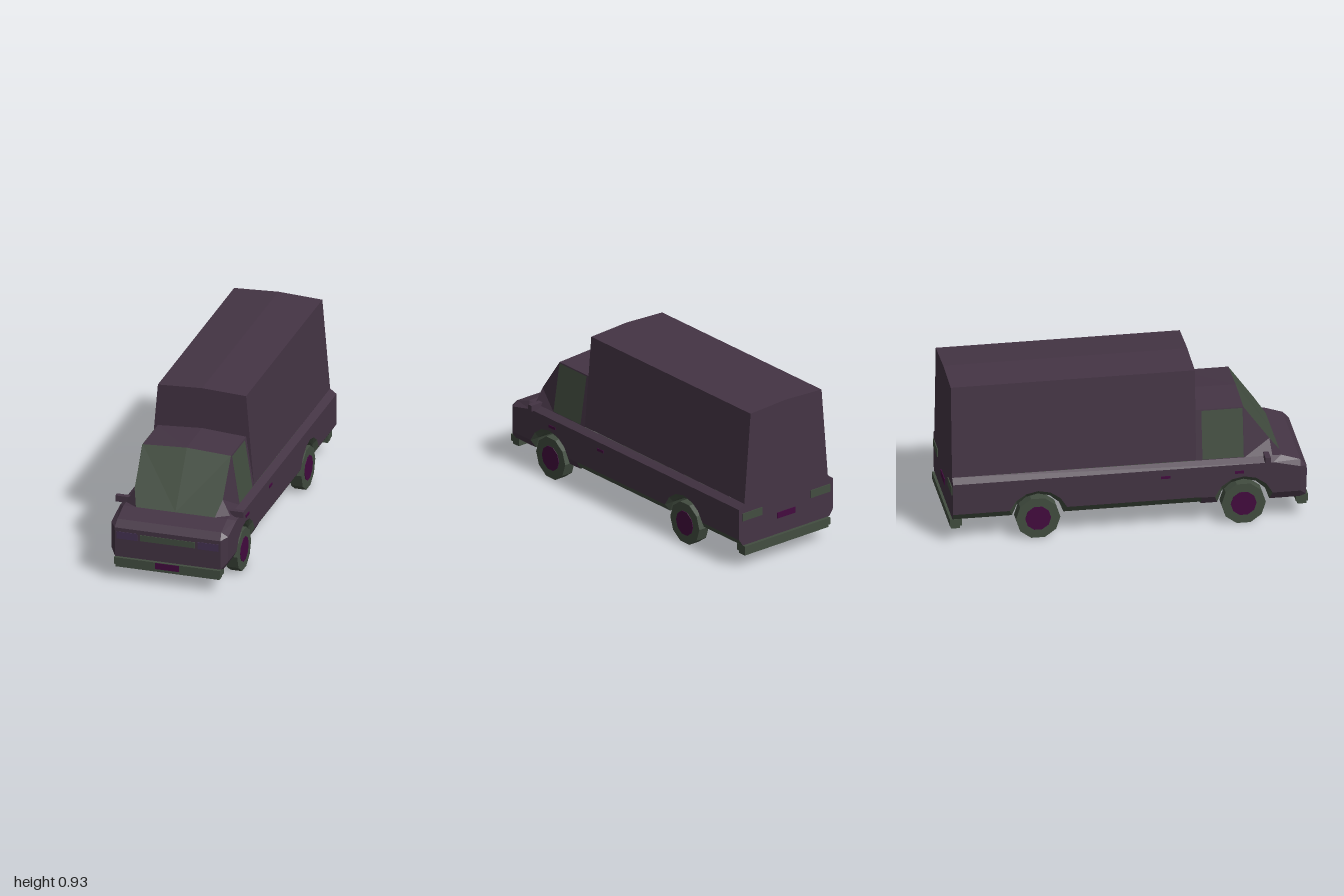
import * as THREE from 'three';

const mat = (name, color) => new THREE.MeshStandardMaterial({ name, color, flatShading: true, side: THREE.DoubleSide });

// Flat polygons (fans of [x, y, z] corners), optionally mirrored in x
function panels(name, material, polys, mirror = false) {
  const v = [];
  for (const s of mirror ? [1, -1] : [1]) {
    for (const p of polys) {
      for (let i = 1; i < p.length - 1; i++) {
        const tri = s > 0 ? [p[0], p[i], p[i + 1]] : [p[0], p[i + 1], p[i]];
        for (const [x, y, z] of tri) v.push(s * x, y, z);
      }
    }
  }
  const g = new THREE.BufferGeometry();
  g.setAttribute('position', new THREE.Float32BufferAttribute(v, 3));
  g.computeVertexNormals();
  const m = new THREE.Mesh(g, material);
  m.name = name;
  return m;
}

export function createModel() {
  const van = new THREE.Group();
  van.name = 'boxVan';
  const paint = mat('body paint', 0x443444);
  const green = mat('dark green trim', 0x424d40);
  const magenta = mat('magenta', 0x430a3f);
  const lamp = mat('headlight purple', 0x443252);

  const box = (name, material, w, h, d, x, y, z) => {
    const m = new THREE.Mesh(new THREE.BoxGeometry(w, h, d), material);
    m.name = name;
    m.position.set(x, y, z);
    van.add(m);
  };

  const W = 0.337, WI = 0.312, BACK = -0.985, CAB = 0.375;
  const axles = [0.635, -0.51];

  // Lower edge of the body from front to back, with wheel arches
  const arch = (zc, r, yBase) => {
    const a0 = Math.asin((yBase - 0.115) / r), pts = [];
    for (let i = 0; i <= 6; i++) {
      const a = a0 + (Math.PI - 2 * a0) * i / 6;
      pts.push([zc + r * Math.cos(a), 0.115 + r * Math.sin(a)]);
    }
    return pts;
  };
  const edge = (r, yCab, yRear) => [
    [0.95, yCab], ...arch(axles[0], r, yCab), [0.4, yCab], [0.39, yRear],
    ...arch(axles[1], r, yRear), [BACK, yRear],
  ];
  const outer = edge(0.172, 0.175, 0.178);
  const inner = edge(0.146, 0.13, 0.14);

  // Side panels
  const side = new THREE.Shape([...outer, [BACK, 0.36], [0.8, 0.36], [0.95, 0.325]]
    .map(([z, y]) => new THREE.Vector2(z, y)));
  for (const s of [1, -1]) {
    const m = new THREE.Mesh(new THREE.ShapeGeometry(side).rotateY(-Math.PI / 2).translate(s * W, 0, 0), paint);
    // Wind the triangles so that they face outwards
    if (s > 0) {
      const idx = m.geometry.index.array;
      for (let i = 0; i < idx.length; i += 3) [idx[i], idx[i + 1]] = [idx[i + 1], idx[i]];
      m.geometry.computeVertexNormals();
    }
    m.name = s > 0 ? 'leftSidePanel' : 'rightSidePanel';
    van.add(m);
  }

  // Bevelled sills and arch lips, and the floor with its wheel tunnels
  const painted = [], trim = [], floor = [];
  for (let i = 0; i < outer.length - 1; i++) {
    const [a, b, c, d] = [outer[i], outer[i + 1], inner[i + 1], inner[i]];
    (i === 0 || i === 7 ? painted : trim).push([
      [W, a[1], a[0]], [WI, d[1], d[0]], [WI, c[1], c[0]], [W, b[1], b[0]]]);
    floor.push([[WI, d[1], d[0]], [-WI, d[1], d[0]], [-WI, c[1], c[0]], [WI, c[1], c[0]]]);
  }
  van.add(panels('cabSills', paint, painted, true));
  van.add(panels('sillsAndArchLips', green, trim, true));
  van.add(panels('floor', green, floor));

  // Belt bevel along the side and the bevelled front corners
  van.add(panels('beltAndCorners', paint, [
    [[W, 0.36, 0.8], [W, 0.36, BACK], [0.3, 0.388, BACK], [0.3, 0.385, 0.85]],
    [[W, 0.36, 0.8], [0.3, 0.385, 0.85], [0.3, 0.35, 0.955], [W, 0.325, 0.95]],
    [[W, 0.325, 0.95], [0.3, 0.35, 0.955], [0.305, 0.312, 0.99]],
    [[W, 0.175, 0.95], [W, 0.325, 0.95], [0.305, 0.312, 0.99], [0.305, 0.14, 0.987]],
    [[W, 0.175, 0.95], [0.305, 0.14, 0.987], [WI, 0.13, 0.95]],
  ], true));

  // Nose and hood
  van.add(panels('nose', paint, [
    [[-0.305, 0.14, 0.987], [0.305, 0.14, 0.987], [0.305, 0.312, 0.99], [-0.305, 0.312, 0.99]],
    [[-0.305, 0.312, 0.99], [0.305, 0.312, 0.99], [0.3, 0.35, 0.955], [-0.3, 0.35, 0.955]],
    [[-0.3, 0.35, 0.955], [0.3, 0.35, 0.955], [0.3, 0.385, 0.85], [-0.3, 0.385, 0.85]],
  ]));
  van.add(panels('noseFloor', green, [
    [[-WI, 0.13, 0.95], [WI, 0.13, 0.95], [0.305, 0.14, 0.987], [-0.305, 0.14, 0.987]]]));

  // Cab: windscreen, pillars, side walls and roof
  const A = [0.255, 0.673, 0.645], B = [0.255, 0.47, 0.79], C = [0.228, 0.385, 0.85];
  const D = [0.3, 0.385, 0.645], E = [0.3, 0.385, 0.8], P = [0, 0.687, 0.645];
  van.add(panels('windscreen', green, [[[0, 0.385, 0.85], C, B, A, P]], true));
  van.add(panels('cabShell', paint, [
    [A, B, D], [B, E, D], [B, C, E], [C, [0.3, 0.385, 0.85], E],
    [D, [0.3, 0.385, CAB], [0.255, 0.673, CAB], A],
    [P, A, [0.255, 0.673, CAB], [0, 0.69, CAB]],
  ], true));
  const wall = (y) => 0.304 - 0.045 * (y - 0.385) / 0.288;
  van.add(panels('sideWindows', green, [
    [[wall(0.39), 0.39, 0.64], [wall(0.39), 0.39, 0.41], [wall(0.668), 0.668, 0.41], [wall(0.668), 0.668, 0.64]],
  ], true));

  // Cargo box
  const end = (z) => [[0, 0.385, z], [0.3, 0.388, z], [0.255, 0.917, z], [0, 0.93, z]];
  const [f, r] = [end(CAB), end(BACK)];
  van.add(panels('cargoBox', paint, [
    f, [r[3], r[2], r[1], r[0]],
    [f[1], r[1], r[2], f[2]], [f[2], r[2], r[3], f[3]],
  ], true));

  // Lower rear face
  van.add(panels('rearFace', paint, [
    [[0, 0.388, BACK], [0.3, 0.388, BACK], [W, 0.36, BACK], [W, 0.178, BACK], [WI, 0.14, BACK], [0, 0.14, BACK]],
  ], true));

  // Grille, lamps and plates
  box('grille', green, 0.315, 0.036, 0.006, 0, 0.268, 0.99);
  box('frontPlate', magenta, 0.14, 0.036, 0.006, 0, 0.116, 0.998);
  box('rearPlate', magenta, 0.13, 0.034, 0.006, 0, 0.25, BACK - 0.002);
  for (const s of [1, -1]) {
    box('headlight', lamp, 0.12, 0.042, 0.006, s * 0.235, 0.269, 0.99);
    box('tailLight', green, 0.14, 0.046, 0.006, s * 0.245, 0.31, BACK - 0.002);
    box('mirror', paint, 0.08, 0.035, 0.03, s * 0.33, 0.388, 0.765);
    for (const z of [0.61, 0.198]) box('doorHandle', magenta, 0.008, 0.015, 0.052, s * W, 0.315, z);
  }

  // Stepped bumpers
  for (const s of [1, -1]) {
    const name = s > 0 ? 'frontBumper' : 'rearBumper';
    box(name, green, 0.614, 0.04, 0.068, 0, 0.116, s * 0.964);
    box(name + 'Step', green, 0.6, 0.02, 0.05, 0, 0.088, s * 0.965);
  }

  // Wheels: ten-sided tyres with a hub disc on both faces
  const tyre = new THREE.CylinderGeometry(0.124, 0.124, 0.068, 10).rotateZ(Math.PI / 2);
  const hub = new THREE.CylinderGeometry(0.072, 0.072, 0.074, 10).rotateZ(Math.PI / 2);
  for (const z of axles) {
    for (const s of [1, -1]) {
      const wheel = new THREE.Group();
      wheel.name = 'wheel';
      const t = new THREE.Mesh(tyre, green), h = new THREE.Mesh(hub, magenta);
      t.name = 'tyre';
      h.name = 'hub';
      wheel.add(t, h);
      wheel.position.set(s * 0.294, 0.118, z);
      van.add(wheel);
    }
  }
  return van;
}
